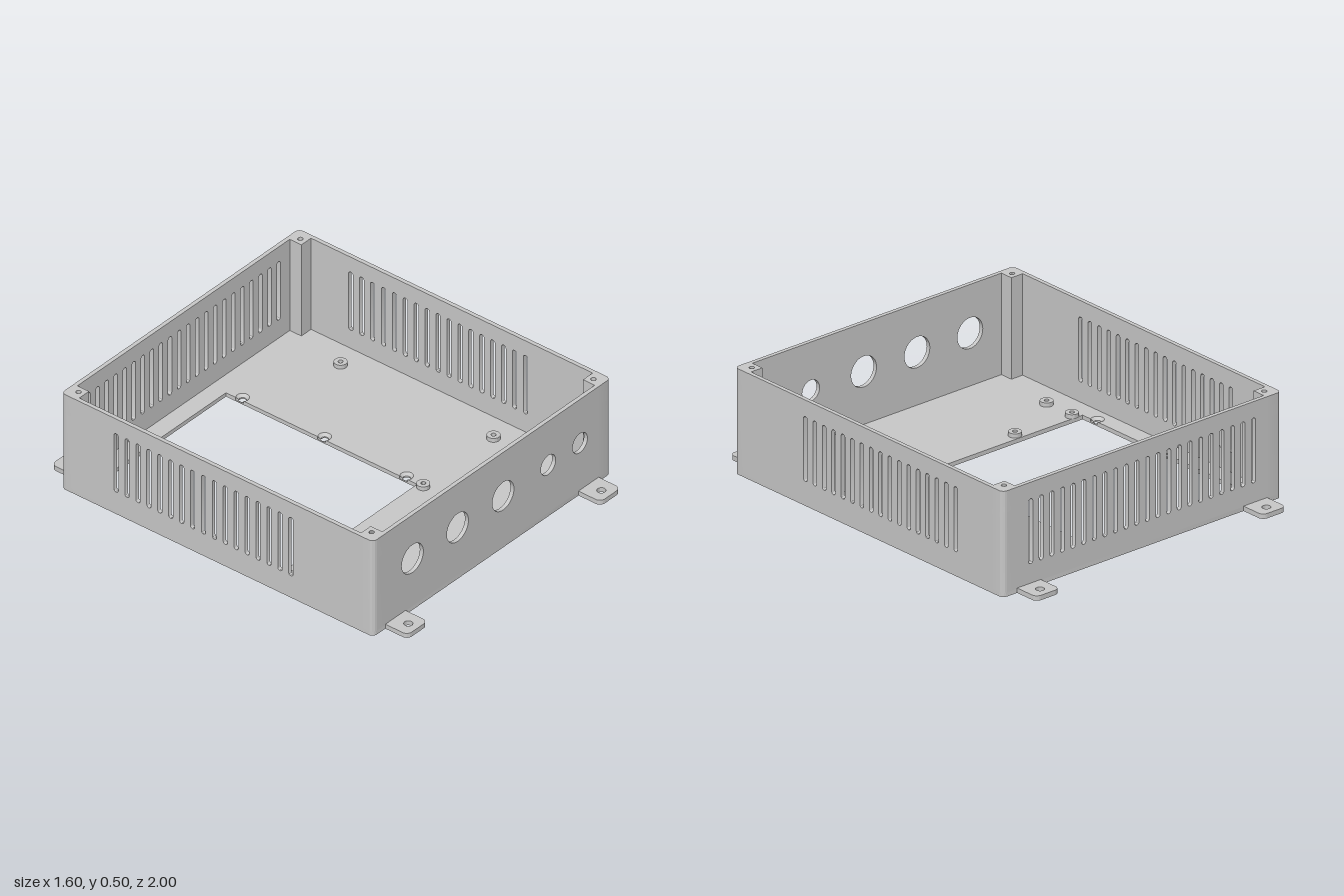
import * as THREE from 'three';
import { toCreasedNormals } from 'three/addons/utils/BufferGeometryUtils.js';

const W = 0.8, D = 0.875, H = 0.5;        // half width, half depth, height
const T = 0.02, FLOOR = 0.02;             // wall and floor thickness
const POST = 0.085, R = 0.025;            // corner post size, outer corner radius
const NOTCH = Math.acos(0.02 / 0.03);     // half angle where a countersink meets the opening

const grey = new THREE.MeshStandardMaterial({ color: 0xc8c8c8, side: THREE.DoubleSide });
grey.name = 'light grey';

function add(parent, name, geometry) {
  const mesh = new THREE.Mesh(geometry, grey);
  mesh.name = name;
  parent.add(mesh);
  return mesh;
}

const circle = (x, y, r) => new THREE.Path().absarc(x, y, r, 0, Math.PI * 2, true);

function rect(x0, y0, x1, y1, Type = THREE.Path) {
  const p = new Type();
  p.moveTo(x0, y0).lineTo(x1, y0).lineTo(x1, y1).lineTo(x0, y1).closePath();
  return p;
}

function extrude(shape, depth) {
  const g = new THREE.ExtrudeGeometry(shape, { depth, bevelEnabled: false, curveSegments: 20 });
  return toCreasedNormals(g, 0.6);
}

// Horizontal plate: shape x stays x, shape y becomes -z
const slab = (shape, y, h) => extrude(shape, h).rotateX(-Math.PI / 2).translate(0, y, 0);

function roundedRect(w, d, r) {
  const s = new THREE.Shape(), q = Math.PI / 2;
  s.absarc(w - r, d - r, r, 0, q).absarc(r - w, d - r, r, q, 2 * q);
  s.absarc(r - w, r - d, r, 2 * q, 3 * q).absarc(w - r, r - d, r, 3 * q, 4 * q);
  s.closePath();
  return s;
}

// Floor with a rectangular opening and countersunk screw holes on its edges
function buildFloor(parent) {
  const x0 = -0.697, x1 = 0.18, y0 = -0.305, y1 = 0.767, split = 0.007;
  const rows = [-0.23, 0.23, 0.69], xl = -0.717, xr = 0.2;

  const lower = roundedRect(W, D, R);
  lower.holes.push(rect(x0, y0, x1, y1));
  for (const y of rows) lower.holes.push(circle(xl, y, 0.017), circle(xr, y, 0.017));
  add(parent, 'floorLower', slab(lower, 0, split));

  const upper = roundedRect(W, D, R);
  const opening = new THREE.Path();
  opening.moveTo(x0, y0).lineTo(x1, y0);
  for (const y of rows) opening.absarc(xr, y, 0.03, NOTCH - Math.PI, Math.PI - NOTCH, false);
  opening.lineTo(x1, y1).lineTo(x0, y1);
  for (const y of [...rows].reverse()) opening.absarc(xl, y, 0.03, NOTCH, 2 * Math.PI - NOTCH, false);
  opening.closePath();
  upper.holes.push(opening);
  add(parent, 'floorUpper', slab(upper, split, FLOOR - split));

  for (const y of rows) {
    for (const [x, middle] of [[xl, Math.PI / 2], [xr, Math.PI * 1.5]]) {
      const cone = new THREE.CylinderGeometry(0.03, 0.017, FLOOR - split, 32, 1, true,
        middle + NOTCH, 2 * (Math.PI - NOTCH));
      add(parent, 'countersink', cone).position.set(x, (FLOOR + split) / 2, -y);
    }
  }
}

// Upright wall panel between two corner posts
function panel(halfLength, holes) {
  const s = rect(-halfLength, FLOOR, halfLength, H, THREE.Shape);
  s.holes.push(...holes);
  return extrude(s, T);
}

// Row of upright vent slots with rounded ends
function slots(from, to, count) {
  const r = 0.012;
  return Array.from({ length: count }, (_, i) => {
    const c = from + (to - from) * i / (count - 1);
    const p = new THREE.Path();
    p.absarc(c, 0.422 - r, r, 0, Math.PI, false);
    p.absarc(c, 0.115 + r, r, Math.PI, Math.PI * 2, false);
    p.closePath();
    return p;
  });
}

function buildWalls(parent) {
  const ports = [[-0.535, 0.073], [-0.231, 0.073], [0.075, 0.073], [0.379, 0.05], [0.593, 0.05]];
  add(parent, 'frontWall', panel(W - POST, ports.map(([x, r]) => circle(x, 0.27, r))))
    .position.z = D - T;
  add(parent, 'backWall', panel(W - POST, slots(-0.64, 0.64, 22))).position.z = -D;
  const side = panel(D - POST, slots(-0.413, 0.567, 17)).rotateY(Math.PI / 2);
  add(parent, 'leftWall', side).position.x = W - T;
  add(parent, 'rightWall', side).position.x = -W;
}

// Corner posts with blind screw holes in the top
function buildPosts(parent) {
  const outline = () => {
    const s = new THREE.Shape();
    s.moveTo(-POST, 0).lineTo(-POST, -POST).lineTo(-R, -POST);
    s.absarc(-R, R - POST, R, -Math.PI / 2, 0, false);
    s.lineTo(0, 0).closePath();
    return s;
  };
  const drilled = outline();
  drilled.holes.push(circle(-0.053, -0.032, 0.012));
  const base = slab(outline(), FLOOR, 0.38).translate(0, 0, -POST);
  const top = slab(drilled, 0.4, 0.1).translate(0, 0, -POST);
  [[W, D], [W, -D], [-W, -D], [-W, D]].forEach(([x, z], k) => {
    const post = new THREE.Group();
    post.name = 'cornerPost';
    add(post, 'postBase', base);
    add(post, 'postTop', top);
    post.position.set(x, 0, z);
    post.rotation.y = k * Math.PI / 2;
    parent.add(post);
  });
}

// Low ring bosses on the floor
function buildStandoffs(parent) {
  const h = 0.02;
  const profile = [[0.03, 0], [0.03, h], [0.011, h], [0.011, 0.003], [0, 0.003]]
    .map(([x, y]) => new THREE.Vector2(x, y));
  const ring = toCreasedNormals(new THREE.LatheGeometry(profile, 28), 0.6);
  const spots = [[0.655, -0.52], [0.655, 0.338], [0.182, 0.338],
    [-0.338, 0.338], [-0.655, 0.327], [-0.655, 0.492]];
  for (const [x, z] of spots) add(parent, 'standoff', ring).position.set(x, FLOOR, z);
}

// Mounting tabs at the foot of the front and back walls
function buildTabs(parent) {
  const w = 0.068, r = 0.028;
  const s = new THREE.Shape();
  s.moveTo(w, -D).lineTo(-w, -D);
  s.absarc(r - w, r - 1, r, Math.PI, Math.PI * 1.5, false);
  s.absarc(w - r, r - 1, r, Math.PI * 1.5, Math.PI * 2, false);
  s.closePath();
  s.holes.push(circle(0, -0.947, 0.02));
  const tab = slab(s, 0, 0.023);
  for (const x of [-0.65, 0.65]) {
    add(parent, 'frontTab', tab).position.x = x;
    const back = add(parent, 'backTab', tab);
    back.position.x = x;
    back.rotation.y = Math.PI;
  }
}

export function createModel() {
  const model = new THREE.Group();
  model.name = 'enclosure';
  buildFloor(model);
  buildWalls(model);
  buildPosts(model);
  buildStandoffs(model);
  buildTabs(model);
  return model;
}
